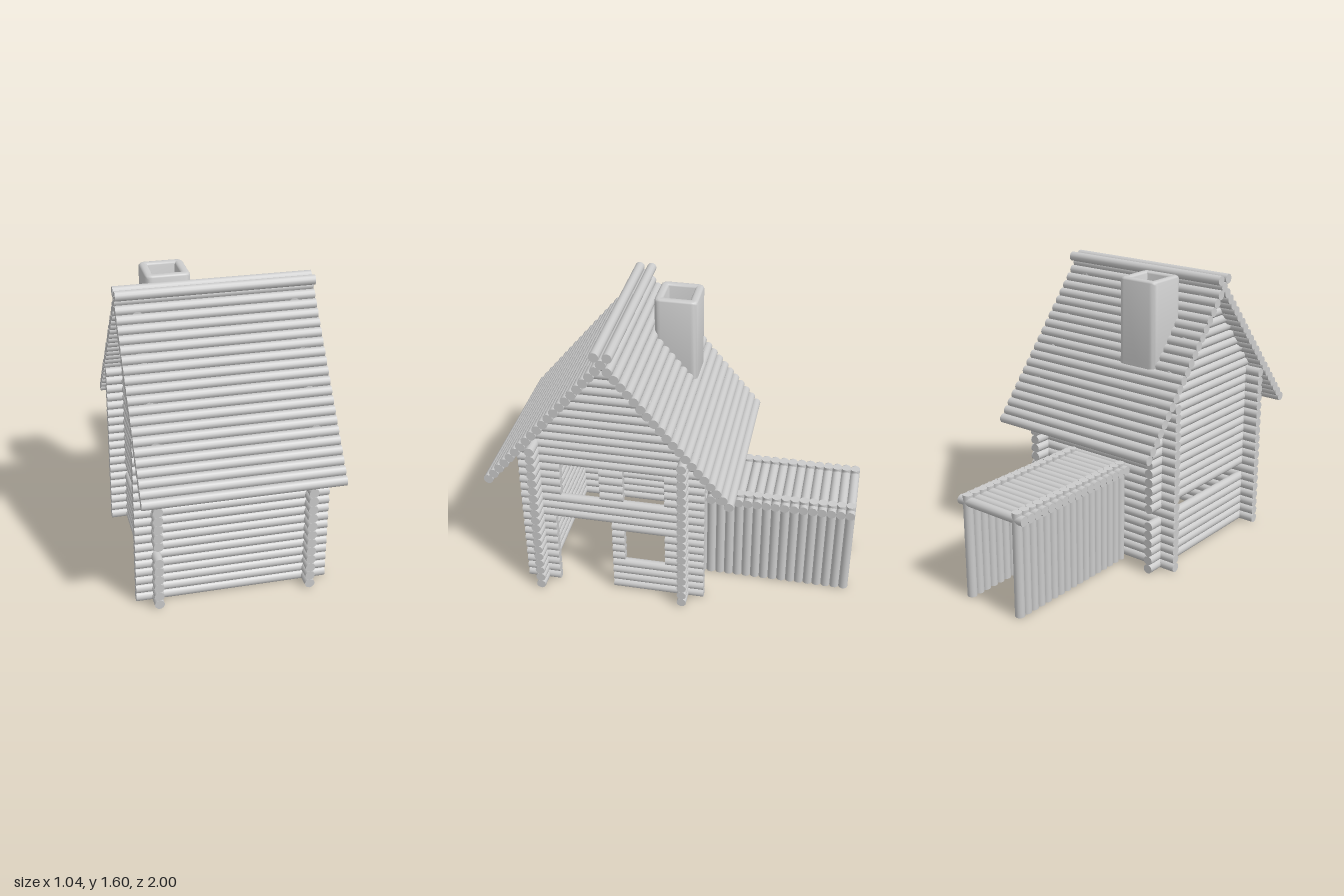
import * as THREE from 'three';
import { toCreasedNormals } from 'three/addons/utils/BufferGeometryUtils.js';

const R = 0.0265;      // log radius
const PITCH = 0.0515;  // spacing between neighbouring logs
const RIDGE_Z = 0.315; // z of the roof ridge
const material = new THREE.MeshStandardMaterial({ color: 0xcccccc });
const course = (i) => 0.026 + i * PITCH; // height of the i-th wall log

// A round log between two coordinates along one axis; (x, y, z) gives the others.
function addLog(parent, name, axis, from, to, x, y, z) {
  const geometry = new THREE.CylinderGeometry(R, R, to - from, 14);
  if (axis === 'x') geometry.rotateZ(Math.PI / 2);
  if (axis === 'z') geometry.rotateX(Math.PI / 2);
  const mesh = new THREE.Mesh(geometry, material);
  mesh.name = name;
  mesh.position.set(x, y, z);
  mesh.position[axis] = (from + to) / 2;
  parent.add(mesh);
}

function addGroup(parent, name) {
  const group = new THREE.Group();
  group.name = name;
  parent.add(group);
  return group;
}

// Gable wall of logs along z, trimmed under the roof, with openings left out.
function buildGableWall(parent, name, x, openings) {
  const wall = addGroup(parent, name);
  for (let i = 0; i <= 28; i++) {
    const y = course(i);
    const half = Math.min(0.515, (1.537 - y) / 1.2);
    const end = RIDGE_Z + half;
    let start = RIDGE_Z - half;
    const cuts = openings
      .filter((o) => i >= o.first && i <= o.last)
      .sort((a, b) => a.z0 - b.z0);
    for (const cut of cuts) {
      if (cut.z0 > start) addLog(wall, 'wallLog', 'z', start, cut.z0, x, y, 0);
      start = Math.max(start, cut.z1);
    }
    if (end > start) addLog(wall, 'wallLog', 'z', start, end, x, y, 0);
  }
}

// Square outline with rounded corners.
function roundedSquare(path, h, r) {
  path.moveTo(-h + r, -h);
  path.lineTo(h - r, -h).quadraticCurveTo(h, -h, h, -h + r);
  path.lineTo(h, h - r).quadraticCurveTo(h, h, h - r, h);
  path.lineTo(-h + r, h).quadraticCurveTo(-h, h, -h, h - r);
  path.lineTo(-h, -h + r).quadraticCurveTo(-h, -h, -h + r, -h);
  return path;
}

function buildChimney(parent) {
  const chimney = addGroup(parent, 'chimney');
  chimney.position.set(-0.21, 0.74, 0.06);
  const bevel = 0.018;
  const shape = roundedSquare(new THREE.Shape(), 0.12 - bevel, 0.02);
  shape.holes.push(roundedSquare(new THREE.Path(), 0.072 + bevel, 0.015));
  const shell = new THREE.ExtrudeGeometry(shape, {
    depth: 0.86 - 2 * bevel, bevelSize: bevel, bevelThickness: bevel,
    bevelSegments: 4, curveSegments: 4,
  });
  shell.translate(0, 0, bevel).rotateX(-Math.PI / 2);
  const stack = new THREE.Mesh(toCreasedNormals(shell, 0.7), material);
  stack.name = 'chimneyStack';
  // Solid core closing the stack below the flue opening
  const core = new THREE.Mesh(new THREE.BoxGeometry(0.16, 0.66, 0.16), material);
  core.name = 'chimneyCore';
  core.position.y = 0.332;
  chimney.add(stack, core);
}

export function createModel() {
  const model = new THREE.Group();
  model.name = 'logCabin';

  // Front and back walls
  for (const [name, z] of [['frontWall', 0.73], ['backWall', -0.09]]) {
    const wall = addGroup(model, name);
    for (let i = 0; i <= 18; i++) addLog(wall, 'wallLog', 'x', -0.52, 0.52, 0, course(i), z);
  }

  // Gable walls: door and three windows on one side, a missing log on the other
  buildGableWall(model, 'doorWall', 0.41, [
    { first: 0, last: 8, z0: 0.32, z1: 0.64 },
    { first: 4, last: 7, z0: 0.02, z1: 0.25 },
    { first: 12, last: 15, z0: 0.38, z1: 0.6 },
    { first: 12, last: 15, z0: 0.02, z1: 0.25 },
  ]);
  buildGableWall(model, 'slottedWall', -0.41, [{ first: 6, last: 6, z0: -1, z1: 1 }]);

  // Roof slopes, crossing at the ridge
  for (const side of [1, -1]) {
    const slope = addGroup(model, side > 0 ? 'frontRoof' : 'backRoof');
    for (let i = 0; i < 22; i++) {
      const z = RIDGE_Z + side * (0.659 - i * 0.033);
      addLog(slope, 'roofLog', 'x', -0.52, 0.52, 0, 0.745 + i * 0.0396, z);
    }
  }

  buildChimney(model);

  // Open-ended shed: upright log walls under a flat roof of cross logs
  const shed = addGroup(model, 'shed');
  for (let i = 0; i < 17; i++) {
    const z = -0.974 + i * PITCH;
    for (const x of [-0.173, 0.173]) addLog(shed, 'shedPost', 'y', 0, 0.585, x, 0, z);
    addLog(shed, 'shedRoofLog', 'x', -0.223, 0.223, 0, 0.547, z);
  }
  return model;
}
